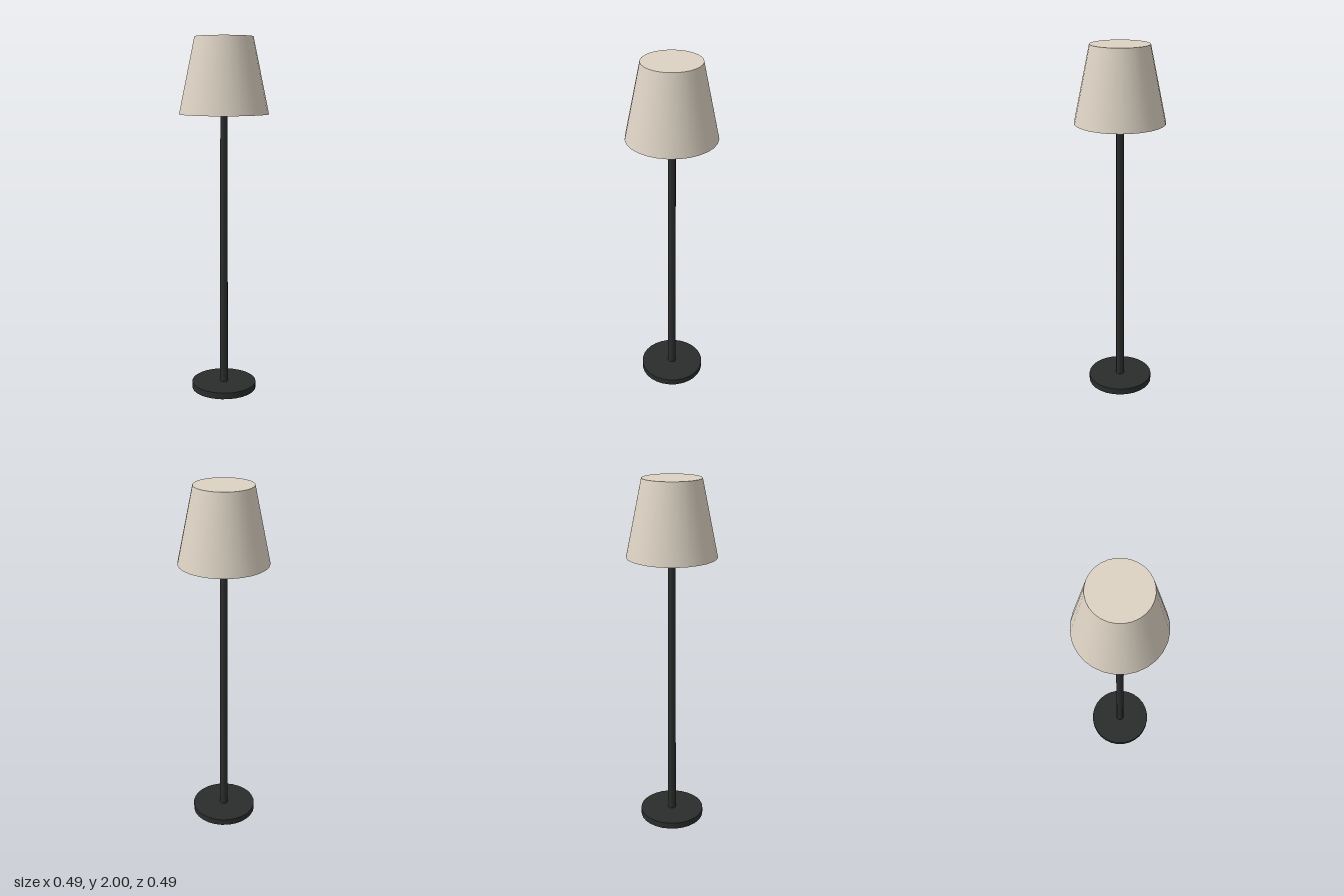
import * as THREE from 'three';

export function createModel() {
  const lamp = new THREE.Group();
  lamp.name = 'floorLamp';

  const dark = new THREE.MeshStandardMaterial({ color: 0x2b2d2c });
  const fabric = new THREE.MeshStandardMaterial({ color: 0xddd3c4 });

  // Upright cylinder or cone spanning bottom to top
  function column(name, rTop, rBottom, bottom, top, sides, material) {
    const geometry = new THREE.CylinderGeometry(rTop, rBottom, top - bottom, sides);
    const mesh = new THREE.Mesh(geometry, material);
    mesh.name = name;
    mesh.position.y = (bottom + top) / 2;
    lamp.add(mesh);
  }

  column('base', 0.185, 0.185, 0, 0.037, 28, dark);
  column('pole', 0.0205, 0.0235, 0.037, 1.6, 12, dark);
  column('shade', 0.16, 0.247, 1.585, 2, 28, fabric);

  // Rounded socket peeking out under the shade
  const socket = new THREE.Mesh(new THREE.SphereGeometry(0.03, 16, 12), dark);
  socket.name = 'socket';
  socket.position.y = 1.595;
  lamp.add(socket);

  return lamp;
}
